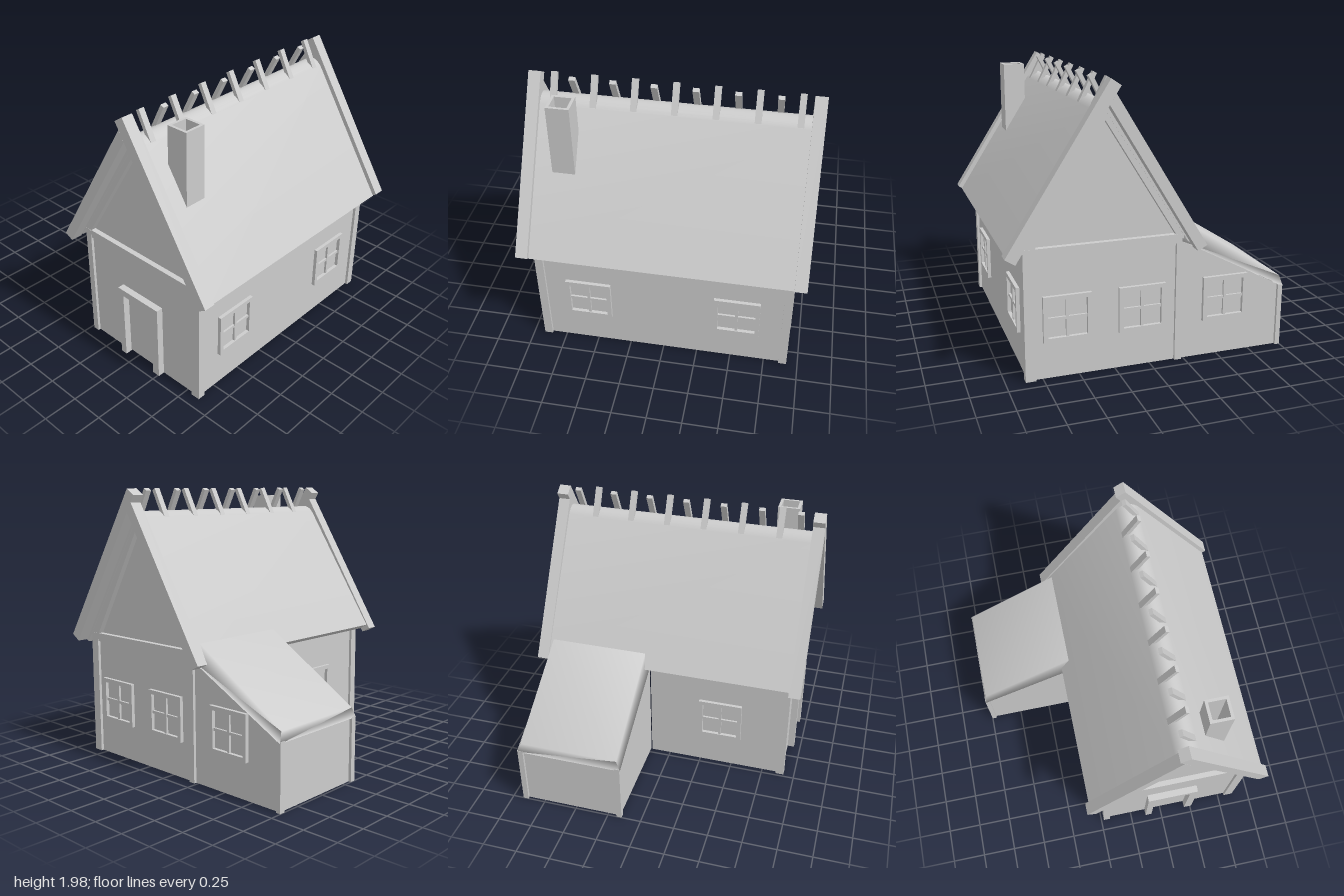
import * as THREE from 'three';
import { mergeVertices, toCreasedNormals } from 'three/addons/utils/BufferGeometryUtils.js';

const CX = 0.32; // ridge position of the main house

export function createModel() {
  const house = new THREE.Group();
  house.name = 'house';
  const material = new THREE.MeshStandardMaterial({ color: 0xcccccc, side: THREE.DoubleSide });

  const add = (name, geometry, parent = house) => {
    const mesh = new THREE.Mesh(geometry, material);
    mesh.name = name;
    parent.add(mesh);
    return mesh;
  };
  // Box given by its limits on each axis
  const box = (name, x0, x1, y0, y1, z0, z1, parent) => {
    const g = new THREE.BoxGeometry(x1 - x0, y1 - y0, z1 - z0);
    g.translate((x0 + x1) / 2, (y0 + y1) / 2, (z0 + z1) / 2);
    return add(name, g, parent);
  };
  const vectors = (points) => points.map(([x, y]) => new THREE.Vector2(x, y));
  const rect = (x0, x1, y0, y1) => [[x0, y0], [x1, y0], [x1, y1], [x0, y1]];
  // Outline in x and y, extruded between two z values
  const prism = (name, points, z0, z1, hole, parent) => {
    const shape = new THREE.Shape(vectors(points));
    if (hole) shape.holes.push(new THREE.Path(vectors(hole)));
    const g = new THREE.ExtrudeGeometry(shape, { depth: z1 - z0, bevelEnabled: false });
    g.translate(0, 0, z0);
    return add(name, g, parent);
  };

  // Main walls, open towards the side shed
  box('rightWall', 0.83, 0.85, 0, 0.95, -0.9, 0.9);
  box('leftWall', -0.21, -0.19, 0, 0.95, -0.15, 0.9);
  box('backWall', -0.21, 0.85, 0, 0.91, -0.9, -0.88);
  prism('frontWall', [[-0.21, 0], [0.17, 0], [0.17, 0.53], [0.45, 0.53], [0.45, 0],
    [0.85, 0], [0.85, 0.91], [-0.21, 0.91]], 0.88, 0.9);

  // Corner posts
  for (const s of [-1, 1]) {
    const z0 = s > 0 ? 0.86 : -0.92;
    box('cornerPost', -0.23, -0.18, 0, 0.91, z0, z0 + 0.06);
    box('cornerPost', 0.8, 0.87, 0, 0.91, z0, z0 + 0.06);
  }

  // Gable ends: recessed panel, timber frame and bargeboards
  const gables = (s) => {
    const span = (a, b) => (s > 0 ? [a, b] : [-b, -a]);
    const tri = [[-0.18, 0.91], [0.79, 0.91], [CX, 1.705]];
    prism('gablePanel', [[-0.2, 0.88], [0.84, 0.88], [CX, 1.74]], ...span(0.86, 0.88));
    prism('gableFrame', [[-0.18, 0.85], [0.8, 0.85], [0.8, 0.91], [0.87, 0.91], [CX, 1.78],
      [-0.23, 0.91], [-0.18, 0.91]], ...span(0.87, 0.918), [[-0.175, 0.912], tri[1], tri[2]]);
    prism('rightBargeboard', [[0.31, 1.975], [0.243, 1.93], [0.932, 0.847], [1, 0.89]], ...span(0.915, 1));
    prism('leftBargeboard', [[-0.365, 0.845], [-0.3, 0.81], [0.318, 1.812], [0.274, 1.88]], ...span(0.915, 1));
  };
  gables(1);
  gables(-1);

  // Main roof with a rounded ridge
  const roof = new THREE.Shape();
  roof.moveTo(0.916, 0.832);
  roof.lineTo(0.975, 0.87);
  roof.lineTo(0.4, 1.773);
  roof.quadraticCurveTo(CX, 1.867, 0.24, 1.773);
  roof.lineTo(-0.34, 0.87);
  roof.lineTo(-0.276, 0.832);
  roof.lineTo(CX, 1.768);
  const roofGeometry = new THREE.ExtrudeGeometry(roof, { depth: 1.84, bevelEnabled: false, curveSegments: 8 });
  roofGeometry.translate(0, 0, -0.92);
  add('mainRoof', toCreasedNormals(roofGeometry, 0.6));

  // Crossed ridge sticks, alternating in direction
  for (let i = 0; i < 13; i++) {
    const s = i % 2 ? -1 : 1;
    const z = 0.825 - i * 0.139;
    const stick = [[-0.025, 1.975], [-0.05, 1.96], [0.055, 1.755], [0.08, 1.77]]
      .map(([x, y]) => [CX + s * x, y]);
    prism('ridgeStick', stick, z - 0.022, z + 0.022);
  }

  // Hollow chimney
  const chimney = prism('chimney', rect(-0.08, 0.08, -0.08, 0.08), 0, 0.56, rect(-0.06, 0.06, -0.06, 0.06));
  chimney.rotation.x = -Math.PI / 2;
  chimney.position.set(0.565, 1.35, 0.71);
  // Sloping foot follows the roof
  const foot = chimney.geometry.attributes.position;
  for (let i = 0; i < foot.count; i++) {
    if (foot.getZ(i) < 0.01) foot.setZ(i, 0.04 - (foot.getX(i) - 0.08) * 1.57);
  }

  // Side shed walls and posts
  const slope = [[-0.98, 0], [-0.2, 0], [-0.2, 0.88], [-0.98, 0.45]];
  prism('shedFrontWall', slope, -0.18, -0.16);
  prism('shedBackWall', slope, -0.9, -0.88);
  box('shedSideWall', -0.98, -0.96, 0, 0.46, -0.89, -0.17);
  box('shedPost', -1, -0.965, 0, 0.46, -0.185, -0.145);
  box('shedPost', -1, -0.965, 0, 0.46, -0.92, -0.88);

  // Shed roof: a box pulled to a slope, edges softened by shared normals
  let shed = new THREE.BoxGeometry(1, 1, 1);
  const p = shed.attributes.position;
  for (let i = 0; i < p.count; i++) {
    const outer = p.getX(i) < 0, top = p.getY(i) > 0, front = p.getZ(i) > 0;
    const inset = top ? 0.03 : 0;
    p.setXYZ(i,
      outer ? (top ? -0.985 : -1) : -0.22,
      outer ? (top ? 0.52 : 0.45) : (top ? 1.005 : 0.86),
      front ? -0.14 - inset : -0.925 + inset);
  }
  shed.deleteAttribute('normal');
  shed.deleteAttribute('uv');
  shed = mergeVertices(shed);
  shed.computeVertexNormals();
  add('shedRoof', shed);

  // Windows: raised frame with a cross of glazing bars
  const addWindow = (x, z, turn) => {
    const w = new THREE.Group();
    w.name = 'window';
    prism('windowFrame', rect(-0.165, 0.165, -0.16, 0.16), -0.005, 0.025, rect(-0.135, 0.135, -0.13, 0.13), w);
    box('verticalBar', -0.01, 0.01, -0.13, 0.13, -0.005, 0.016, w);
    box('horizontalBar', -0.135, 0.135, -0.01, 0.01, -0.005, 0.015, w);
    w.position.set(x, 0.42, z);
    w.rotation.y = turn;
    house.add(w);
  };
  for (const z of [0.545, -0.535]) addWindow(0.85, z, Math.PI / 2);
  for (const x of [0.58, 0.06, -0.55]) addWindow(x, -0.9, Math.PI);
  addWindow(-0.21, 0.4, -Math.PI / 2);

  // Front door in its frame
  prism('doorFrame', [[0.12, 0], [0.17, 0], [0.17, 0.53], [0.45, 0.53], [0.45, 0], [0.51, 0],
    [0.51, 0.58], [0.12, 0.58]], 0.88, 0.95);
  box('door', 0.17, 0.45, 0.01, 0.53, 0.88, 0.9);

  return house;
}
